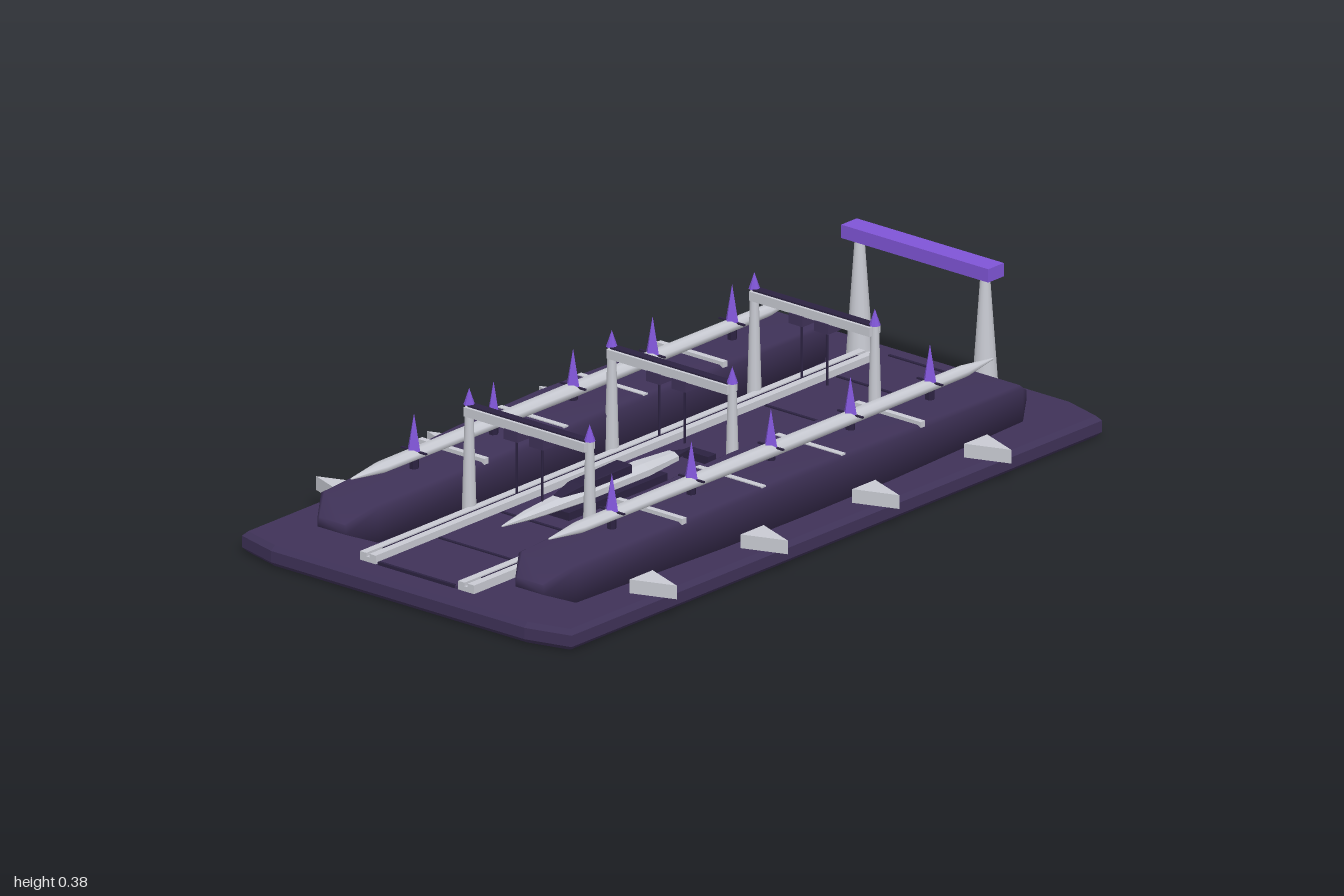
import * as THREE from 'three';

const mat = (color, flatShading = true) => new THREE.MeshStandardMaterial({ color, flatShading });
const DARK = mat(0x3f3258), DARK_SMOOTH = mat(0x3f3258, false), TRIM = mat(0x2b2240);
const LIGHT = mat(0xc8cad2), LIGHT_SMOOTH = mat(0xc8cad2, false), PURPLE = mat(0x7f55d6);

// Cross-section outlines as [y, z], scaled per station of a loft
const BOXY = [[1, -0.88], [1, 0.88], [0.86, 1], [-1, 1], [-1, -1], [0.86, -1]];
const ROUND = Array.from({ length: 8 }, (_, i) => {
  const a = ((i + 0.5) / 8) * Math.PI * 2;
  return [Math.cos(a) / Math.cos(Math.PI / 8), Math.sin(a) / Math.cos(Math.PI / 8)];
});

// Loft along x; each station is [x, yLow, yHigh, halfWidth]
function loft(profile, stations) {
  const n = profile.length, pos = [], idx = [];
  for (const [x, lo, hi, w] of stations)
    for (const [y, z] of profile) pos.push(x, (lo + hi) / 2 + (y * (hi - lo)) / 2, z * w);
  const last = (stations.length - 1) * n;
  for (let j = 0; j < n; j++) {
    const k = (j + 1) % n;
    for (let b = 0; b < last; b += n)
      idx.push(b + j, b + k, b + n + j, b + k, b + n + k, b + n + j);
    if (j > 0 && j < n - 1) idx.push(0, j + 1, j, last, last + j, last + j + 1);
  }
  const g = new THREE.BufferGeometry();
  g.setAttribute('position', new THREE.Float32BufferAttribute(pos, 3));
  g.setIndex(idx);
  g.computeVertexNormals();
  return g;
}

const mirrorStations = (half) => [
  ...half.map(([x, ...r]) => [-x, ...r]),
  ...half.slice(0, -1).reverse(),
];

export function createModel() {
  const model = new THREE.Group();
  model.name = 'dockPlatform';

  const add = (parent, name, geo, material, x = 0, y = 0, z = 0) => {
    const m = new THREE.Mesh(geo, material);
    m.name = name;
    m.position.set(x, y, z);
    parent.add(m);
    return m;
  };
  // Box given by its ranges
  const box = (parent, name, material, x0, x1, y0, y1, z0, z1) =>
    add(parent, name, new THREE.BoxGeometry(x1 - x0, y1 - y0, z1 - z0), material,
      (x0 + x1) / 2, (y0 + y1) / 2, (z0 + z1) / 2);
  // Upright tapered column
  const column = (parent, name, material, x, y0, y1, z, rBottom, rTop, sides) =>
    add(parent, name, new THREE.CylinderGeometry(rTop, rBottom, y1 - y0, sides), material, x, (y0 + y1) / 2, z);
  const group = (name, z = 0) => {
    const g = new THREE.Group();
    g.name = name;
    g.position.z = z;
    model.add(g);
    return g;
  };

  // Base slab with clipped corners and bevelled rim
  const b = 0.012;
  const outline = [[0.97, 0.52], [1, 0.41], [1, -0.41], [0.97, -0.52],
    [-0.97, -0.52], [-1, -0.41], [-1, 0.41], [-0.97, 0.52]];
  const slab = new THREE.ExtrudeGeometry(
    new THREE.Shape(outline.map(([x, z]) => new THREE.Vector2(x - Math.sign(x) * b, z - Math.sign(z) * b))),
    { depth: 0.053 - 2 * b, bevelThickness: b, bevelSize: b, bevelSegments: 1 });
  slab.rotateX(-Math.PI / 2);
  add(model, 'baseSlab', slab, DARK, 0, b, 0);

  // Sunken lane with cross ribs
  const lane = group('centreLane');
  box(lane, 'lanePlate', DARK, -0.93, 0.93, 0.05, 0.06, -0.125, 0.125);
  for (const x of [-0.93, -0.71, -0.48, 0.48, 0.74, 0.93])
    box(lane, 'laneRib', TRIM, x - 0.004, x + 0.004, 0.055, 0.063, -0.12, 0.12);
  box(lane, 'laneBlock', TRIM, 0.085, 0.115, 0.055, 0.08, -0.04, 0.04);

  const hull = loft(BOXY, mirrorStations([[0.88, 0.08, 0.105, 0.045], [0.815, 0.053, 0.143, 0.09],
    [0.3, 0.053, 0.16, 0.114], [0, 0.053, 0.165, 0.117]]));
  const spar = loft(ROUND, mirrorStations([[0.81, 0.19, 0.194, 0.002], [0.7, 0.178, 0.204, 0.02],
    [0, 0.174, 0.206, 0.023]]));
  const wedge = new THREE.ExtrudeGeometry(
    new THREE.Shape([[-0.042, 0], [0.042, 0], [0, -0.113]].map((p) => new THREE.Vector2(...p))),
    { depth: 0.035, bevelEnabled: false });
  wedge.rotateX(-Math.PI / 2);

  for (const s of [1, -1]) {
    const side = s > 0 ? 'front' : 'back';

    // Long pod with straps, spar and spikes
    const pod = group(side + 'Pod', s * 0.312);
    add(pod, 'podHull', hull, DARK_SMOOTH);
    add(pod, 'podSpar', spar, LIGHT_SMOOTH);
    for (const x of [-0.437, -0.147, 0.143, 0.433])
      box(pod, 'podStrap', LIGHT, x - 0.008, x + 0.008, 0.15, 0.165, -0.105, 0.105);
    for (const x of [-0.58, -0.29, 0, 0.29, 0.58]) {
      column(pod, 'spike', PURPLE, x, 0.2, 0.295, 0, 0.02, 0, 4);
      box(pod, 'spikeArm', TRIM, x - 0.003, x + 0.003, 0.197, 0.201, -0.04, 0.04);
      column(pod, 'sparMount', TRIM, x, 0.155, 0.185, 0, 0.012, 0.012, 6);
    }

    // Fender wedges pointing outwards
    for (const x of [-0.64, -0.235, 0.172, 0.58])
      add(model, side + 'Fender', wedge, LIGHT, x, 0.053, s * 0.456).rotation.y = s > 0 ? 0 : Math.PI;

    // Rail with a dark slot
    const rail = group(side + 'Rail', s * 0.155);
    box(rail, 'railBase', LIGHT, -0.93, 0.89, 0.05, 0.066, -0.025, 0.025);
    for (const z of [-0.015, 0.015])
      box(rail, 'railLip', LIGHT, -0.93, 0.89, 0.06, 0.075, z - 0.01, z + 0.01);
    box(rail, 'railSlot', TRIM, -0.87, 0.86, 0.06, 0.072, -0.005, 0.005);
  }

  // Three lane gantries with hanging hoists
  for (const x of [-0.52, 0, 0.52]) {
    const gantry = group('gantry');
    gantry.position.x = x;
    box(gantry, 'gantryBeam', LIGHT, -0.02, 0.02, 0.305, 0.328, -0.19, 0.19);
    box(gantry, 'beamStrip', TRIM, -0.012, 0.012, 0.326, 0.332, -0.185, 0.185);
    for (const s of [1, -1]) {
      column(gantry, 'gantryPost', LIGHT_SMOOTH, 0, 0.053, 0.335, s * 0.19, 0.018, 0.01, 10);
      column(gantry, 'postTip', PURPLE, 0, 0.33, 0.372, s * 0.19, 0.014, 0, 8);
      box(gantry, 'hoistBox', DARK, -0.023, 0.023, 0.28, 0.306, s * 0.04 - 0.022, s * 0.04 + 0.022);
      column(gantry, 'hoistCable', TRIM, 0, 0.14, 0.285, s * 0.04, 0.003, 0.003, 6);
    }
  }

  // Tall end gate
  const gate = group('endGate');
  box(gate, 'gateBeam', PURPLE, 0.885, 0.942, 0.345, 0.379, -0.232, 0.232);
  for (const s of [1, -1])
    column(gate, 'gatePost', LIGHT_SMOOTH, 0.913, 0.053, 0.347, s * 0.198, 0.033, 0.012, 14);

  // Slender docked craft
  const craft = group('dockedCraft');
  box(craft, 'craftCradle', TRIM, -0.42, -0.06, 0.058, 0.08, -0.038, 0.038);
  add(craft, 'craftHull', loft(ROUND, [[-0.62, 0.092, 0.096, 0.002], [-0.52, 0.084, 0.108, 0.018],
    [-0.36, 0.078, 0.116, 0.032], [-0.12, 0.078, 0.116, 0.034], [0, 0.084, 0.11, 0.022]]), LIGHT);
  add(craft, 'craftTail', loft(ROUND, [[0, 0.085, 0.109, 0.018], [0.06, 0.095, 0.099, 0.002]]), TRIM);
  add(craft, 'craftCanopy', loft(BOXY, [[-0.42, 0.105, 0.114, 0.012], [-0.35, 0.105, 0.128, 0.023],
    [-0.175, 0.105, 0.132, 0.025]]), TRIM);

  return model;
}
